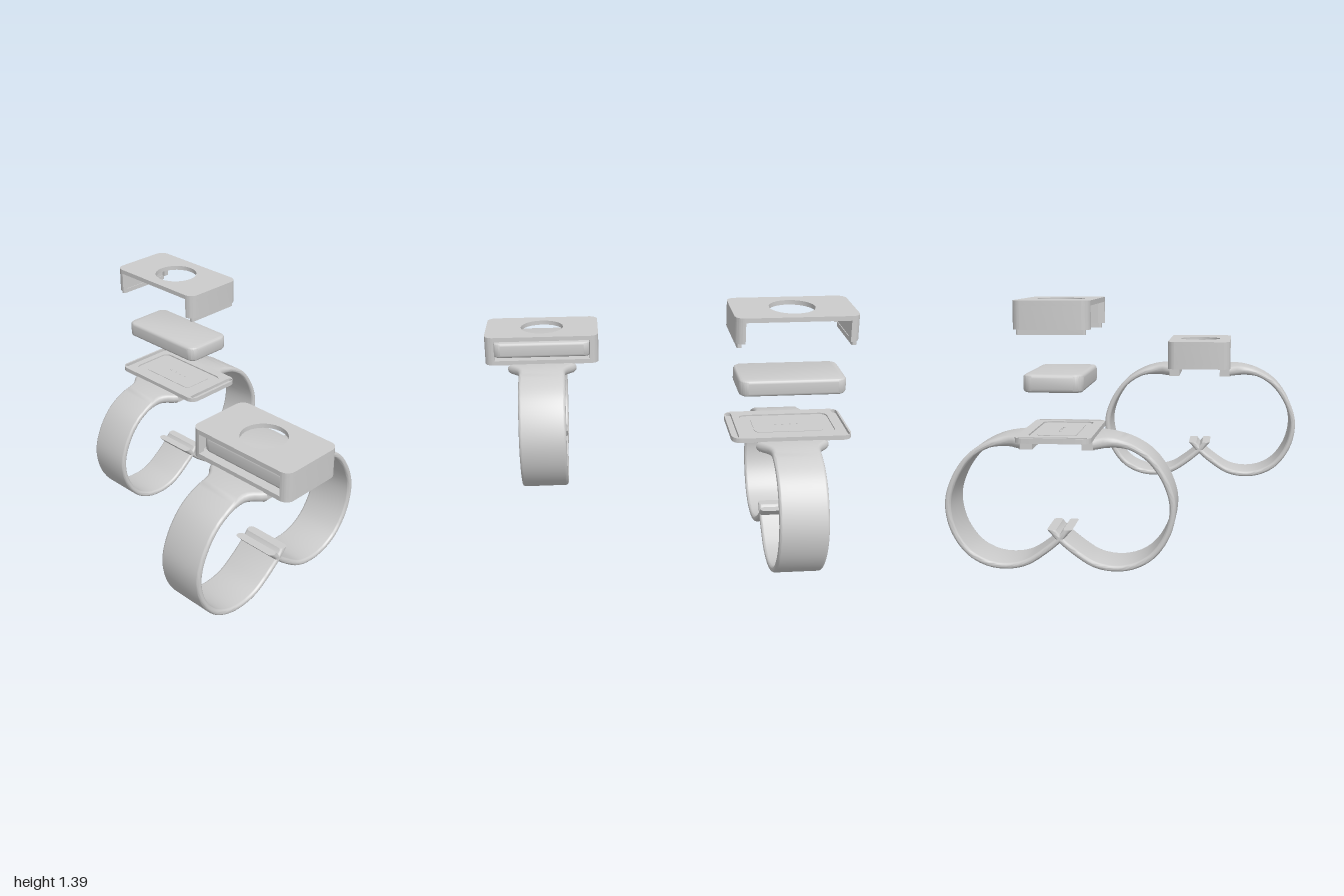
import * as THREE from 'three';
import { toCreasedNormals } from 'three/addons/utils/BufferGeometryUtils.js';

const material = new THREE.MeshStandardMaterial({ color: 0xcccccc });

function add(parent, name, geometry, x = 0, y = 0, z = 0) {
  const mesh = new THREE.Mesh(geometry, material);
  mesh.name = name;
  mesh.position.set(x, y, z);
  parent.add(mesh);
  return mesh;
}

// Rounded rectangle outline centred on cx
function roundRect(w, d, r, cx = 0, Type = THREE.Shape) {
  const s = new Type(), x = w / 2, y = d / 2;
  s.absarc(cx + x - r, y - r, r, 0, Math.PI / 2);
  s.absarc(cx - x + r, y - r, r, Math.PI / 2, Math.PI);
  s.absarc(cx - x + r, -y + r, r, Math.PI, Math.PI * 1.5);
  s.absarc(cx + x - r, -y + r, r, Math.PI * 1.5, Math.PI * 2);
  s.closePath();
  return s;
}

// Flat plan outline raised from y = 0 to y = height
function slab(shape, height, bevel = 0) {
  const g = new THREE.ExtrudeGeometry(shape, {
    depth: height - 2 * bevel, curveSegments: 12, bevelEnabled: bevel > 0,
    bevelSize: bevel, bevelThickness: bevel, bevelOffset: -bevel, bevelSegments: 4,
  });
  g.translate(0, 0, bevel).rotateX(-Math.PI / 2);
  return toCreasedNormals(g, 0.6);
}

// Half strap: a rounded rectangular section swept along a side-view loop
function strapGeometry() {
  const path = new THREE.CatmullRomCurve3([
    [0.67, -0.185], [0.672, -0.24], [0.667, -0.3], [0.648, -0.37], [0.59, -0.46], [0.49, -0.535],
    [0.37, -0.578], [0.27, -0.575], [0.17, -0.54], [0.08, -0.47], [0.03, -0.38], [0.016, -0.28],
    [0.035, -0.18], [0.09, -0.09], [0.165, 0], [0.213, 0.042],
  ].map(([y, z]) => new THREE.Vector3(0, y, z)));
  const steps = 64, corner = 5, ring = corner * 4;
  const pos = [], index = [];
  for (let i = 0; i <= steps; i++) {
    const p = path.getPointAt(i / steps), t = path.getTangentAt(i / steps);
    const top = p.y > 0.5;
    // Wide, thick root that narrows into the band
    const flare = top ? THREE.MathUtils.clamp((p.z + 0.295) / 0.1, 0, 1) ** 2 : 0;
    const thick = top ? THREE.MathUtils.smoothstep(p.z, -0.39, -0.24) : 0;
    const w = 0.132 + 0.066 * flare;
    let h = 0.016 + 0.012 * thick, ny = t.z, nz = -t.y;
    if (i === steps) { ny = 0; nz = -1; h = 0.024; } // level cut at the tip
    const r = h * 0.95;
    for (let c = 0; c < 4; c++) {
      for (let k = 0; k < corner; k++) {
        const a = (c + k / (corner - 1)) * Math.PI / 2;
        const u = (c === 0 || c === 3 ? 1 : -1) * (w - r) + r * Math.cos(a);
        const v = (c < 2 ? 1 : -1) * (h - r) + r * Math.sin(a);
        pos.push(u, p.y + v * ny, p.z + v * nz);
      }
    }
  }
  for (let i = 0; i < steps; i++) {
    for (let j = 0; j < ring; j++) {
      const a = i * ring + j, b = i * ring + (j + 1) % ring;
      index.push(a, b, a + ring, b, b + ring, a + ring);
    }
  }
  // End caps
  const last = steps * ring;
  for (let j = 1; j < ring - 1; j++) {
    index.push(0, j + 1, j, last, last + j, last + j + 1);
  }
  const g = new THREE.BufferGeometry();
  g.setAttribute('position', new THREE.Float32BufferAttribute(pos, 3));
  g.setIndex(index);
  return toCreasedNormals(g, 0.9);
}

// Base plate with end slots, a shallow recess, contacts and strap lugs
function makeBase() {
  const base = new THREE.Group();
  base.name = 'base';
  add(base, 'plateFloor', slab(roundRect(0.655, 0.38, 0.05), 0.008), 0, 0.695);
  const middle = roundRect(0.655, 0.38, 0.05);
  const rim = roundRect(0.655, 0.38, 0.05);
  for (const s of [-1, 1]) {
    for (const shape of [middle, rim]) {
      shape.holes.push(roundRect(0.03, 0.345, 0.012, s * 0.302, THREE.Path));
    }
  }
  rim.holes.push(roundRect(0.5, 0.27, 0.04, 0, THREE.Path));
  add(base, 'plateMiddle', slab(middle, 0.01), 0, 0.703);
  add(base, 'plateRim', slab(rim, 0.008), 0, 0.713);
  add(base, 'centrePad', slab(roundRect(0.38, 0.2, 0.03), 0.003), 0, 0.713);
  for (const x of [-0.06, -0.02, 0.02, 0.06]) {
    add(base, 'contact', new THREE.CylinderGeometry(0.006, 0.006, 0.003, 10), x, 0.7175, 0);
  }
  for (const s of [-1, 1]) {
    add(base, 'lug', new THREE.BoxGeometry(0.36, 0.055, 0.065), 0, 0.6675, s * 0.1575);
  }
  return base;
}

// Cover: holed top, wrap-around end walls and the pegs below them
function makeCover() {
  const cover = new THREE.Group();
  cover.name = 'cover';
  const top = roundRect(0.655, 0.38, 0.05);
  top.holes.push(new THREE.Path().absarc(0, 0, 0.124, 0, Math.PI * 2, true));
  add(cover, 'coverTop', slab(top, 0.025), 0, 0.115);
  const wall = new THREE.Shape();
  wall.moveTo(0.273, -0.19);
  wall.absarc(0.2775, -0.14, 0.05, -Math.PI / 2, 0);
  wall.absarc(0.2775, 0.14, 0.05, 0, Math.PI / 2);
  for (const [x, z] of [[0.273, 0.19], [0.273, 0.155], [0.293, 0.155], [0.293, -0.155], [0.273, -0.155]]) {
    wall.lineTo(x, z);
  }
  for (const s of [-1, 1]) {
    const end = new THREE.Group();
    end.name = 'coverEnd';
    end.rotation.y = s < 0 ? Math.PI : 0;
    add(end, 'endWall', slab(wall, 0.115));
    add(end, 'peg', slab(roundRect(0.026, 0.34, 0.01), 0.025), 0.302, -0.025);
    cover.add(end);
  }
  return cover;
}

function makeWatch(name, moduleY, coverY) {
  const watch = new THREE.Group();
  watch.name = name;
  watch.add(makeBase());
  const strap = strapGeometry();
  add(watch, 'backStrap', strap);
  add(watch, 'frontStrap', strap).rotation.y = Math.PI;
  add(watch, 'innerModule', slab(roundRect(0.58, 0.3, 0.05), 0.09, 0.018), 0, moduleY);
  const cover = makeCover();
  cover.position.y = coverY;
  watch.add(cover);
  return watch;
}

export function createModel() {
  const model = new THREE.Group();
  model.name = 'wristDevices';
  const exploded = makeWatch('explodedDevice', 0.94, 1.25);
  exploded.position.set(-0.6725, 0, -0.335);
  const assembled = makeWatch('assembledDevice', 0.721, 0.721);
  assembled.position.set(0.6725, 0.237, 0.335);
  model.add(exploded, assembled);
  return model;
}
